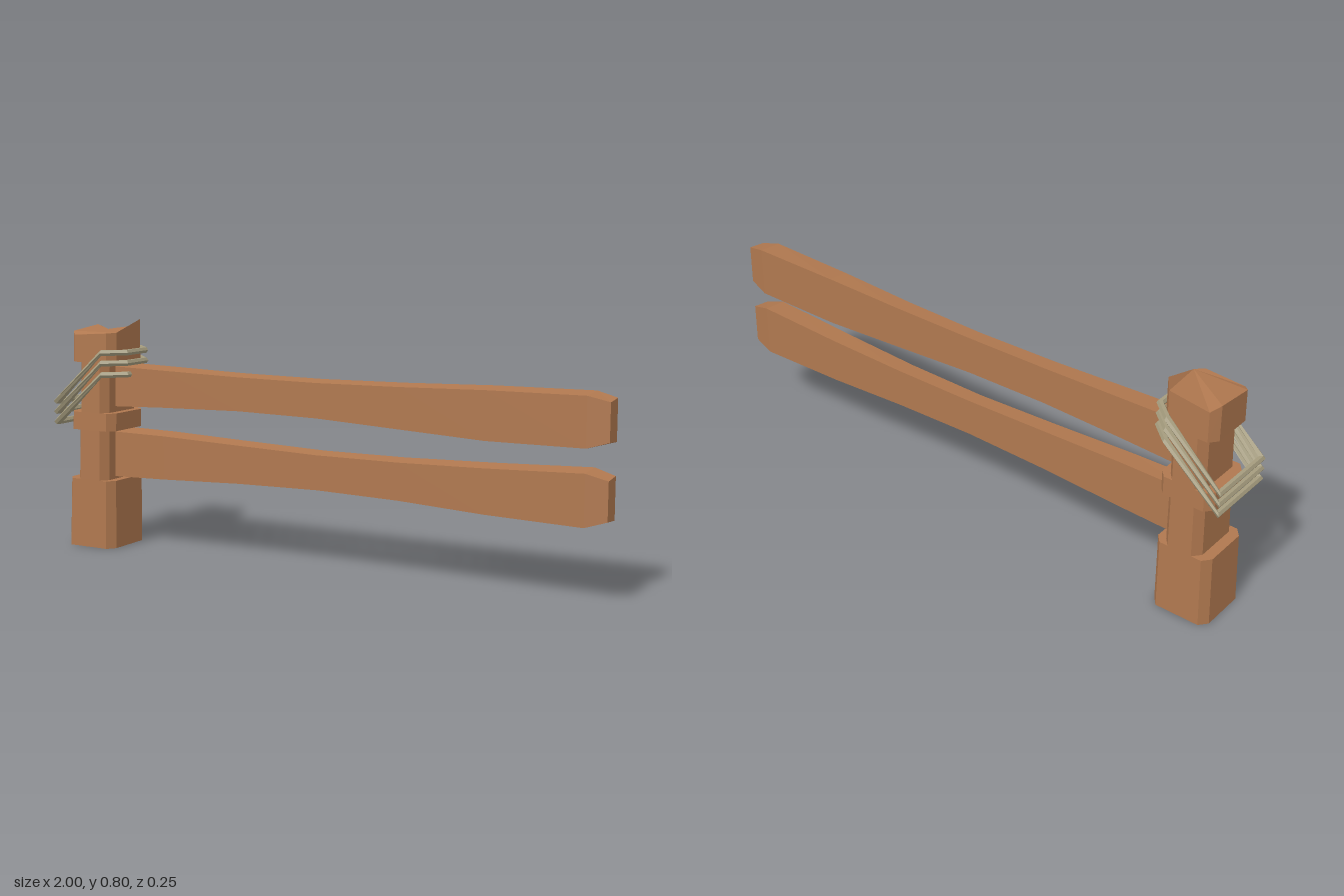
import * as THREE from 'three';

// Flat-faced skin over a row of equal-length cross-sections (arrays of [x, y, z]).
function loft(rings, closedPath = false) {
  const out = [];
  const n = rings[0].length;
  const tri = (a, b, c) => out.push(...a, ...b, ...c);
  const spans = closedPath ? rings.length : rings.length - 1;
  for (let i = 0; i < spans; i++) {
    const r = rings[i], s = rings[(i + 1) % rings.length];
    for (let j = 0; j < n; j++) {
      const k = (j + 1) % n;
      tri(r[j], r[k], s[k]);
      tri(r[j], s[k], s[j]);
    }
  }
  if (!closedPath) {
    const first = rings[0], last = rings[rings.length - 1];
    for (let j = 1; j < n - 1; j++) {
      tri(first[0], first[j + 1], first[j]);
      tri(last[0], last[j], last[j + 1]);
    }
  }
  const geo = new THREE.BufferGeometry();
  geo.setAttribute('position', new THREE.Float32BufferAttribute(out, 3));
  geo.computeVertexNormals();
  return geo;
}

// Chamfered rectangle at height y; heights may override y per corner.
function postRing(y, x0, x1, z, heights) {
  const cx = 0.023, cz = 0.028;
  return [
    [x1, z - cz], [x1, cz - z], [x1 - cx, -z], [x0 + cx, -z],
    [x0, cz - z], [x0, z - cz], [x0 + cx, z], [x1 - cx, z],
  ].map(([px, pz], i) => [px, heights ? heights[i] : y, pz]);
}

// Slightly skewed rail cross-section, back top edge a little higher.
function railRing([x, bottom, top, front, back]) {
  return [[x, top, back], [x, top - 0.007, front], [x, bottom + 0.005, front], [x, bottom, back]];
}

// Mitred six-sided rope loop, level at the rail side and sagging behind the post.
function ropeGeometry(high, low) {
  const path = [
    [-0.736, high, 0.055], [-0.8, high, 0.114], [-0.99, low, 0.114],
    [-0.99, low, -0.114], [-0.8, high, -0.114], [-0.736, high, -0.055],
  ].map((p) => new THREE.Vector3(...p));
  const outward = (a, b) => new THREE.Vector3(b.z - a.z, 0, a.x - b.x).normalize();
  const r = 0.011, n = path.length;
  const rings = path.map((p, i) => {
    const o1 = outward(path[(i + n - 1) % n], p);
    const o2 = outward(p, path[(i + 1) % n]);
    const mitre = o1.clone().add(o2).divideScalar(1 + o1.dot(o2));
    return Array.from({ length: 6 }, (_, j) => {
      const a = (j / 6) * Math.PI * 2;
      const c = r * Math.cos(a);
      return [p.x + mitre.x * c, p.y + r * Math.sin(a), p.z + mitre.z * c];
    });
  });
  return loft(rings, true);
}

export function createModel() {
  const model = new THREE.Group();
  model.name = 'fenceSection';
  const wood = new THREE.MeshStandardMaterial({ color: 0xb0784f });
  wood.name = 'wood';
  const ropeMat = new THREE.MeshStandardMaterial({ color: 0xa59c7e });
  ropeMat.name = 'rope';
  const add = (name, geo, mat) => {
    const mesh = new THREE.Mesh(geo, mat);
    mesh.name = name;
    model.add(mesh);
  };

  // Post with two notched bands and a rough-cut top
  add('post', loft([
    postRing(0, -0.977, -0.778, 0.105),
    postRing(0.24, -0.967, -0.774, 0.103),
    postRing(0.24, -0.932, -0.803, 0.103),
    postRing(0.415, -0.926, -0.8, 0.101),
    postRing(0.415, -0.958, -0.771, 0.101),
    postRing(0.477, -0.955, -0.77, 0.1),
    postRing(0.477, -0.922, -0.799, 0.1),
    postRing(0.652, -0.917, -0.795, 0.098),
    postRing(0.652, -0.95, -0.767, 0.098),
    postRing(0, -0.948, -0.765, 0.097,
      [0.757, 0.795, 0.772, 0.752, 0.77, 0.757, 0.746, 0.755]),
  ]), wood);

  // Rails: [x, bottom, top, front z, back z]
  add('upperRail', loft([
    [-0.85, 0.49, 0.645, 0.039, -0.041],
    [-0.6, 0.499, 0.639, 0.034, -0.039],
    [-0.3, 0.506, 0.632, 0.026, -0.037],
    [0, 0.502, 0.63, 0.022, -0.037],
    [0.3, 0.488, 0.635, 0.024, -0.041],
    [0.6, 0.475, 0.644, 0.031, -0.045],
    [0.93, 0.478, 0.648, 0.038, -0.046],
    [1, 0.499, 0.632, 0.029, -0.033],
  ].map(railRing), ), wood);
  add('lowerRail', loft([
    [-0.85, 0.243, 0.415, 0.04, -0.042],
    [-0.6, 0.249, 0.412, 0.035, -0.04],
    [-0.3, 0.26, 0.402, 0.028, -0.038],
    [0, 0.265, 0.393, 0.024, -0.037],
    [0.3, 0.259, 0.394, 0.026, -0.04],
    [0.6, 0.245, 0.402, 0.033, -0.043],
    [0.93, 0.238, 0.415, 0.04, -0.043],
    [1, 0.26, 0.396, 0.029, -0.033],
  ].map(railRing)), wood);

  // Three rope loops binding the upper rail to the post
  [[0.689, 0.512], [0.653, 0.476], [0.613, 0.44]].forEach(([high, low], i) => {
    add(`ropeLoop${i + 1}`, ropeGeometry(high, low), ropeMat);
  });

  return model;
}
